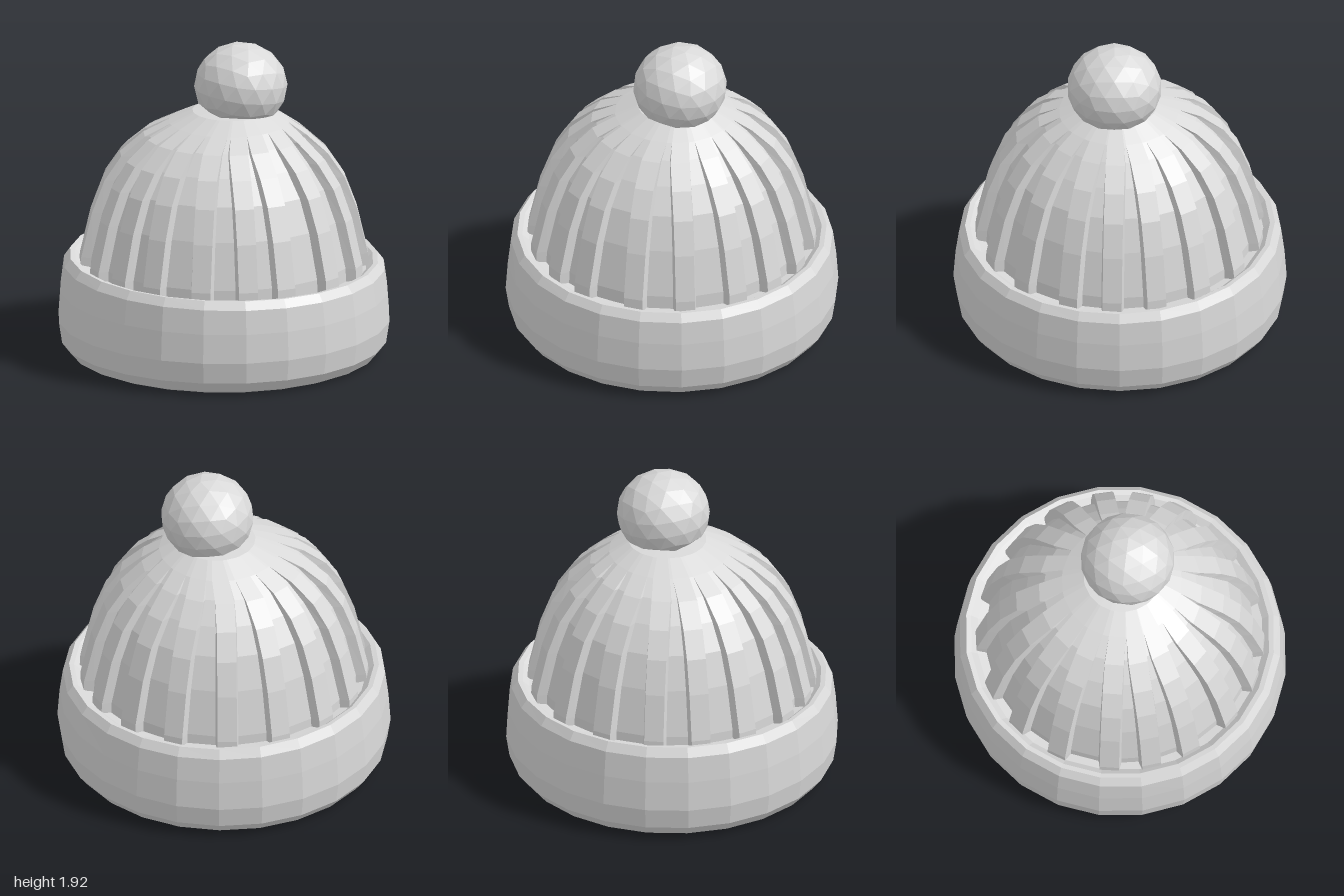
import * as THREE from 'three';

const wool = new THREE.MeshStandardMaterial({ color: 0xd8d8d8 });
wool.name = 'grey wool';

// Faceted mesh: one normal per face
function facetMesh(geometry, name) {
  const flat = geometry.index ? geometry.toNonIndexed() : geometry;
  flat.computeVertexNormals();
  const mesh = new THREE.Mesh(flat, wool);
  mesh.name = name;
  return mesh;
}

const points = list => list.map(([r, y]) => new THREE.Vector2(r, y));

// Folded cuff with closed underside and a slightly uneven top rim
function makeCuff() {
  const geometry = new THREE.LatheGeometry(points([
    [0, 0.005], [0.88, 0.005], [0.93, 0.025], [0.98, 0.09], [1.0, 0.22],
    [0.987, 0.4], [0.967, 0.55], [0.93, 0.6], [0.9, 0.595], [0.86, 0.56], [0.74, 0.54],
  ]), 24);
  const pos = geometry.attributes.position;
  for (let i = 0; i < pos.count; i++) {
    const y = pos.getY(i);
    const lift = Math.max(0, (y - 0.3) / 0.3);
    pos.setY(i, y - lift * (0.012 * pos.getX(i) + 0.015 * pos.getZ(i)));
  }
  return facetMesh(geometry, 'cuff');
}

// Dome of raised ribs, parted by flat wedge grooves that fade out near the top
function makeCrown() {
  const profile = [
    [0.87, 0.5], [0.865, 0.62], [0.8, 0.9], [0.725, 1.1], [0.625, 1.25],
    [0.49, 1.37], [0.36, 1.445], [0.235, 1.51], [0, 1.53],
  ];
  const ribs = [3, 26, 47, 69, 87, 105, 125, 146, 168, 190, 212, 231, 251, 273, 290, 307, 328, 347];
  const n = ribs.length;
  const rad = Math.PI / 180;
  const geometry = new THREE.LatheGeometry(points(profile), n * 4);
  const pos = geometry.attributes.position;
  for (let i = 0; i <= n * 4; i++) {
    const k = Math.floor(i / 4) % n;
    const corner = i % 4;
    const here = ribs[k] * rad;
    const next = (ribs[(k + 1) % n] + (k === n - 1 ? 360 : 0)) * rad;
    profile.forEach(([r, y], j) => {
      const fade = THREE.MathUtils.clamp((r - 0.36) / 0.25, 0, 1);
      const half = Math.min(0.058 / Math.max(r, 0.01), 0.14);
      const foot = half + 0.018 * fade;
      const angle = [here - half, here + half, here + foot, next - foot][corner];
      const radius = corner > 1 ? r - 0.06 * fade : r;
      const lean = THREE.MathUtils.clamp((y - 1.35) / 0.15, 0, 1);
      pos.setXYZ(i * profile.length + j,
        radius * Math.sin(angle) + 0.045 * lean, y, radius * Math.cos(angle) + 0.01 * lean);
    });
  }
  return facetMesh(geometry, 'ribbedCrown');
}

// Faceted bobble, flattened where it sits on the crown
function makePompom() {
  const geometry = new THREE.IcosahedronGeometry(1, 2);
  geometry.rotateZ(0.4);
  geometry.scale(0.28, 0.26, 0.285);
  const pos = geometry.attributes.position;
  for (let i = 0; i < pos.count; i++) {
    pos.setY(i, Math.max(pos.getY(i), -0.165 - 0.08 * pos.getX(i)));
  }
  geometry.translate(0.095, 1.665, 0.034);
  return facetMesh(geometry, 'pompom');
}

export function createModel() {
  const group = new THREE.Group();
  group.name = 'bobbleHat';
  group.add(makeCuff(), makeCrown(), makePompom());
  return group;
}
